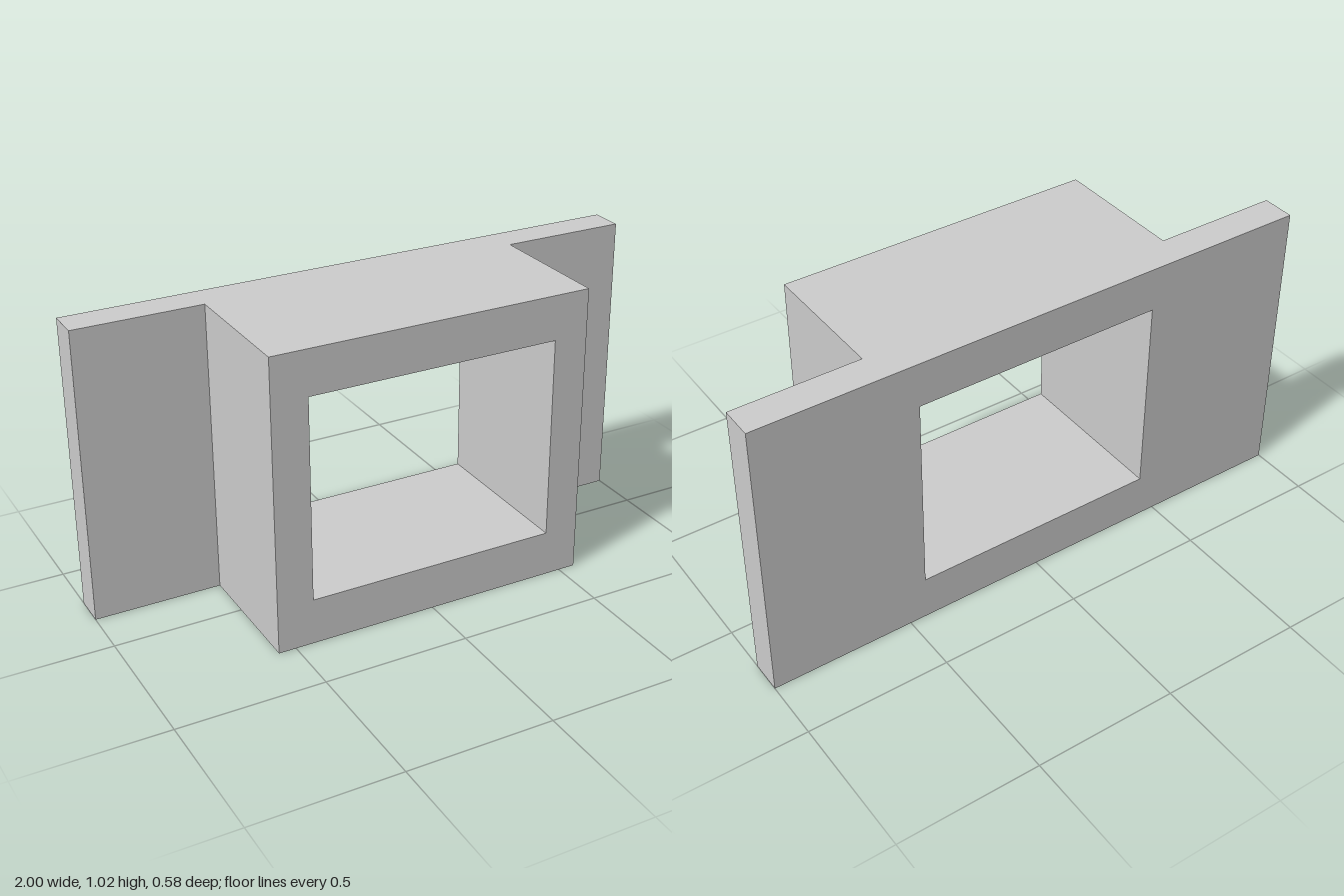
import * as THREE from 'three';

const HEIGHT = 1.02, BACK = -0.29, FRONT = 0.29;
const DUCT_HALF = 0.56, FLANGE_DEPTH = 0.115;

// Axis-aligned rectangle, added to a Shape or a hole Path
function rectangle(path, x0, y0, x1, y1) {
  path.moveTo(x0, y0);
  path.lineTo(x1, y0);
  path.lineTo(x1, y1);
  path.lineTo(x0, y1);
  path.closePath();
  return path;
}

export function createModel() {
  const group = new THREE.Group();
  group.name = 'flangedFrame';
  const material = new THREE.MeshStandardMaterial({ color: 0xcccccc, flatShading: true });

  // Deep rectangular duct with an opening right through it
  const outline = rectangle(new THREE.Shape(), -DUCT_HALF, 0, DUCT_HALF, HEIGHT);
  outline.holes.push(rectangle(new THREE.Path(), -0.435, 0.16, 0.44, 0.865));
  const duct = new THREE.Mesh(
    new THREE.ExtrudeGeometry(outline, { depth: FRONT - BACK, bevelEnabled: false }),
    material
  );
  duct.name = 'duct';
  duct.position.z = BACK;
  group.add(duct);

  // Thin mounting flanges flush with the back face
  const flangeWidth = 1 - DUCT_HALF;
  for (const [side, name] of [[1, 'leftFlange'], [-1, 'rightFlange']]) {
    const flange = new THREE.Mesh(new THREE.BoxGeometry(flangeWidth, HEIGHT, FLANGE_DEPTH), material);
    flange.name = name;
    flange.position.set(side * (DUCT_HALF + flangeWidth / 2), HEIGHT / 2, BACK + FLANGE_DEPTH / 2);
    group.add(flange);
  }
  return group;
}
